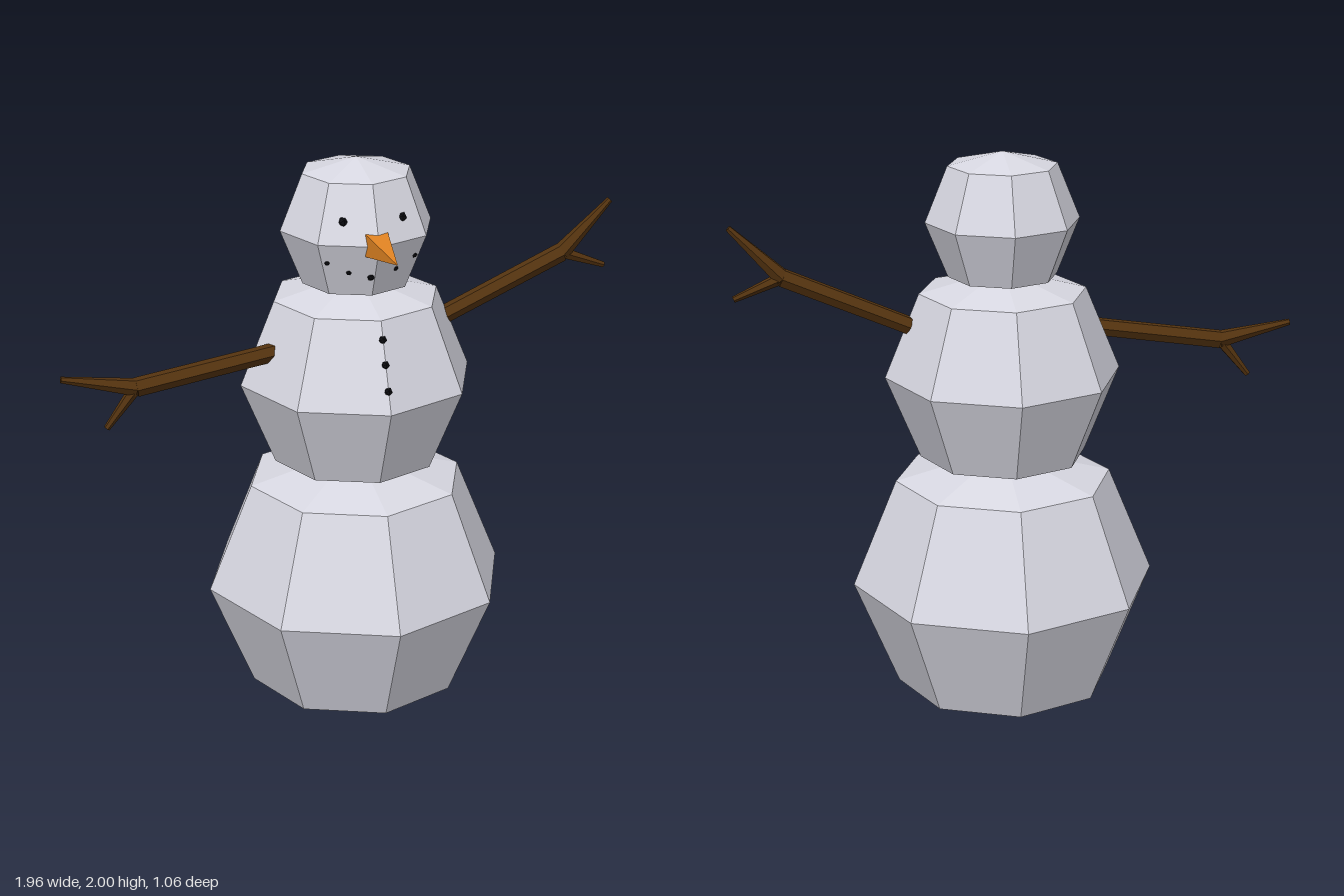
import * as THREE from 'three';

const mat = (name, color, flatShading = true) => {
  const m = new THREE.MeshStandardMaterial({ color, flatShading });
  m.name = name;
  return m;
};

const CX = 0.05; // body axis

// Body balls: centre height, equator radius, ring radius, ring offset, pole offset
const BALLS = {
  bottomBall: [0.478, 0.53, 0.376, 0.376, 0.475],
  middleBall: [1.23, 0.407, 0.288, 0.29, 0.365],
  head: [1.765, 0.264, 0.187, 0.19, 0.235],
};

export function createModel() {
  const group = new THREE.Group();
  group.name = 'snowman';
  const snow = mat('snow', 0xd8d8e2);
  const coal = mat('coal', 0x0c0c10);
  const wood = mat('wood', 0x54330f);
  const carrot = mat('carrot', 0xe08322);

  const add = (name, geo, material, parent = group) => {
    const mesh = new THREE.Mesh(geo, material);
    mesh.name = name;
    parent.add(mesh);
    return mesh;
  };

  // Eight-sided snow balls
  for (const [name, [y, r, ringR, ringY, pole]] of Object.entries(BALLS)) {
    const profile = [[0, -pole], [ringR, -ringY], [r, 0], [ringR, ringY], [0, pole]]
      .map(([px, py]) => new THREE.Vector2(px, py));
    add(name, new THREE.LatheGeometry(profile, 8), snow).position.set(CX, y, 0);
  }

  // Coal pieces, set on the front facets of a ball
  const addCoal = (name, ball, x, y, size) => {
    const [cy, r, ringR, ringY] = BALLS[ball];
    const radius = r + (ringR - r) * Math.abs(y - cy) / ringY;
    const z = radius - Math.abs(x - CX) * Math.tan(Math.PI / 8);
    add(name, new THREE.IcosahedronGeometry(size, 0), coal).position.set(x, y, z - size * 0.4);
  };
  for (const s of [-1, 1]) {
    addCoal('eye', 'head', CX + s * 0.1, 1.837, 0.018);
    addCoal('mouthCoal', 'head', CX + s * 0.15, 1.698, 0.011);
    addCoal('mouthCoal', 'head', CX + s * 0.08, 1.663, 0.011);
  }
  addCoal('mouthCoal', 'head', 0.04, 1.648, 0.015);
  for (const y of [1.46, 1.383, 1.302]) addCoal('button', 'middleBall', CX, y, 0.015);

  // Four-sided carrot nose, square base towards the face
  const noseGeo = new THREE.ConeGeometry(0.055, 0.23, 4);
  noseGeo.rotateY(Math.PI / 4).rotateX(Math.PI / 2);
  add('nose', noseGeo, carrot).position.set(CX, 1.765, 0.345);

  // Tapered six-sided sticks between two points
  const stick = (name, parent, a, b, ra, rb) => {
    const from = new THREE.Vector3(...a);
    const dir = new THREE.Vector3(...b).sub(from);
    const geo = new THREE.CylinderGeometry(rb, ra, dir.length(), 6);
    const mesh = add(name, geo, wood, parent);
    mesh.position.copy(from).addScaledVector(dir, 0.5);
    mesh.quaternion.setFromUnitVectors(new THREE.Vector3(0, 1, 0), dir.normalize());
  };
  const arm = (name, shoulder, elbow, twigs) => {
    const g = new THREE.Group();
    g.name = name;
    group.add(g);
    stick('branch', g, shoulder, elbow, 0.032, 0.033);
    for (const [tip, r] of twigs) stick('twig', g, elbow, tip, r, 0.011);
  };
  arm('leftArm', [0.37, 1.412, -0.005], [0.795, 1.598, -0.005],
    [[[0.968, 1.773, -0.005], 0.031], [[0.96, 1.533, -0.02], 0.022]]);
  arm('rightArm', [-0.25, 1.365, 0.065], [-0.73, 1.291, 0.068],
    [[[-0.98, 1.343, 0.065], 0.031], [[-0.835, 1.157, 0.072], 0.022]]);

  return group;
}
